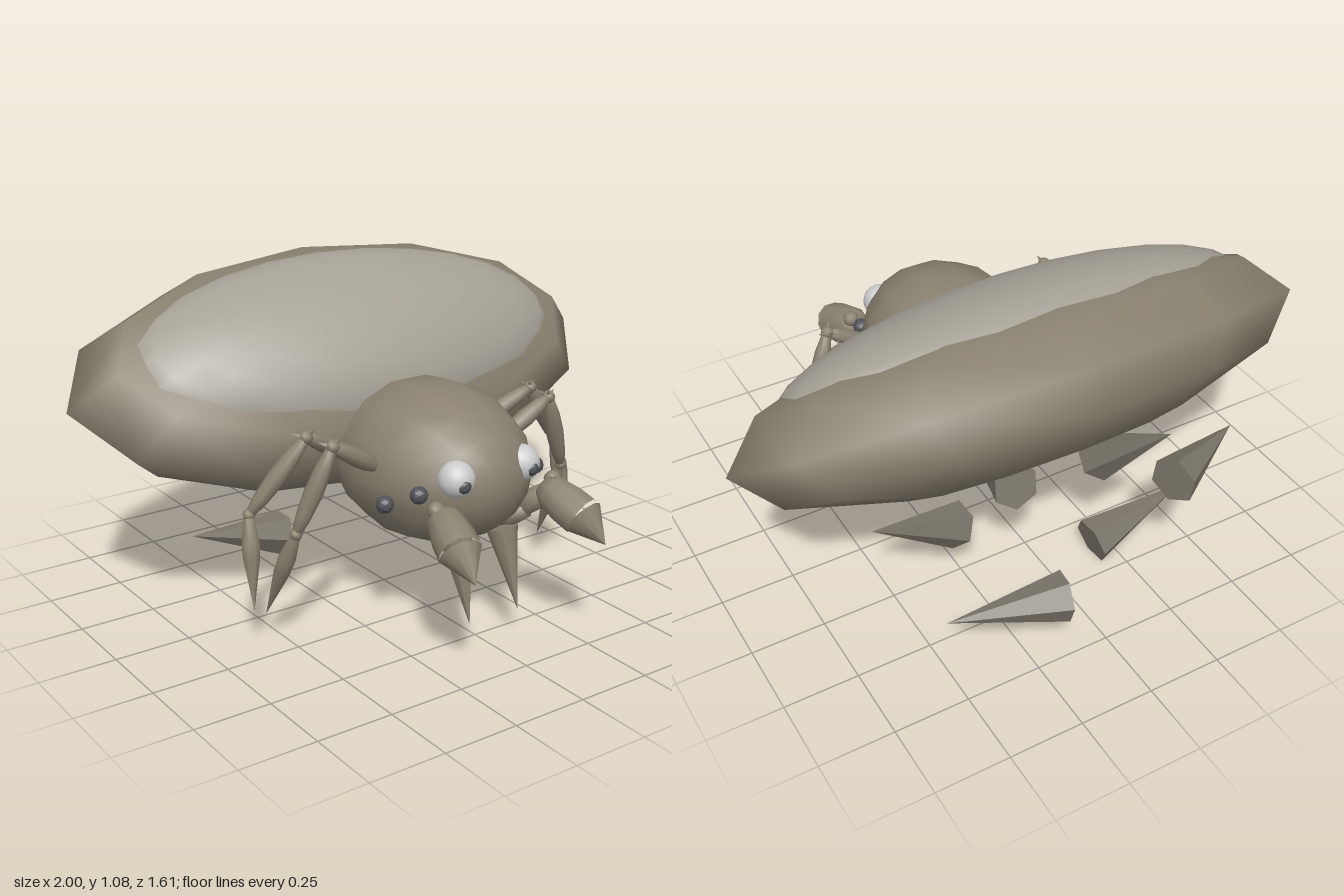
import * as THREE from 'three';

const mat = (color, flatShading = false) => new THREE.MeshStandardMaterial({ color, flatShading });
const V = (p) => new THREE.Vector3(...p);
const UP = new THREE.Vector3(0, 1, 0);

export function createModel() {
  const model = new THREE.Group();
  const skin = mat(0x8a8170);
  const skinFlat = mat(0x7a7468, true);
  const pale = mat(0xa5a196);
  const white = mat(0xcccccc);
  const dark = mat(0x505258, true);

  const add = (name, geometry, material, position, scale = [1, 1, 1], parent = model) => {
    const mesh = new THREE.Mesh(geometry, material);
    mesh.name = name;
    mesh.position.set(...position);
    mesh.scale.set(...scale);
    parent.add(mesh);
    return mesh;
  };

  // Lathe a profile of [radius, fraction of length] from point a to point b
  const spindle = (name, a, b, profile, sides, material, parent = model) => {
    const dir = V(b).sub(V(a));
    const length = dir.length();
    const points = profile.map(([r, t]) => new THREE.Vector2(r, t * length));
    const mesh = add(name, new THREE.LatheGeometry(points, sides), material, a, [1, 1, 1], parent);
    mesh.quaternion.setFromUnitVectors(UP, dir.normalize());
    return mesh;
  };

  // Flat-sided cone from the centre of its base to its tip
  const cone = (name, base, tip, radius, sides, material, parent = model) => {
    const dir = V(tip).sub(V(base));
    const geometry = new THREE.ConeGeometry(radius, dir.length(), sides);
    geometry.translate(0, dir.length() / 2, 0);
    const mesh = add(name, geometry, material, base, [1, 1, 1], parent);
    mesh.quaternion.setFromUnitVectors(UP, dir.normalize());
    return mesh;
  };

  // Wide tilted abdomen with a pale marking bulging from its upper face
  const tilt = THREE.MathUtils.degToRad(35);
  const abdomen = new THREE.Group();
  abdomen.name = 'abdomen';
  abdomen.position.set(0, 0.745, -0.245);
  abdomen.rotation.x = tilt;
  model.add(abdomen);
  add('abdomenShell', new THREE.SphereGeometry(1, 12, 6), skin, [0, 0, 0], [1, 0.285, 0.465], abdomen);
  add('abdomenMarking', new THREE.SphereGeometry(1, 24, 14), pale, [0, 0.09, 0], [0.83, 0.23, 0.365], abdomen);

  // Rounded head and thorax, poles along z
  const headShape = new THREE.SphereGeometry(1, 14, 10).rotateX(Math.PI / 2);
  add('head', headShape, skin, [0, 0.545, 0.26], [0.29, 0.255, 0.36]);

  const legProfile = [[0, 0], [0.016, 0.02], [0.027, 0.25], [0.03, 0.5], [0.024, 0.8], [0.015, 0.98], [0, 1]];
  const clawProfile = [[0, 0], [0.016, 0.02], [0.029, 0.3], [0.027, 0.45], [0, 1]];
  const legs = [
    { name: 'frontLeg', path: [[0.24, 0.58, 0.32], [0.42, 0.69, 0.335], [0.525, 0.42, 0.29], [0.555, 0.11, 0.15]] },
    { name: 'rearLeg', path: [[0.24, 0.58, 0.17], [0.44, 0.69, 0.22], [0.61, 0.46, 0.16], [0.635, 0.17, 0.22]] },
  ];

  for (const [side, s] of [['left', 1], ['right', -1]]) {
    const at = ([x, y, z]) => [s * x, y, z];

    // Main eye with pupil, and two small side eyes
    add(side + 'Eye', new THREE.SphereGeometry(0.058, 16, 12), white, at([0.125, 0.59, 0.55]));
    add(side + 'Pupil', new THREE.IcosahedronGeometry(0.025, 1), dark, at([0.13, 0.582, 0.59]));
    add(side + 'FrontSideEye', new THREE.IcosahedronGeometry(0.028, 1), dark, at([0.225, 0.545, 0.5]));
    add(side + 'RearSideEye', new THREE.IcosahedronGeometry(0.028, 1), dark, at([0.285, 0.5, 0.41]));

    // Fang hanging below the face
    cone(side + 'Fang', at([0.09, 0.37, 0.51]), at([0.095, 0.12, 0.59]), 0.05, 8, skin);

    // Feeler: short jointed arm, swollen bulb and pointed cap
    const feeler = new THREE.Group();
    feeler.name = side + 'Feeler';
    model.add(feeler);
    const armProfile = [[0, 0], [0.03, 0.05], [0.04, 0.5], [0.028, 0.95], [0, 1]];
    spindle('feelerArm', at([0.12, 0.38, 0.45]), at([0.16, 0.43, 0.55]), armProfile, 8, skin, feeler);
    spindle('feelerElbow', at([0.15, 0.42, 0.52]), at([0.21, 0.5, 0.59]), armProfile, 8, skin, feeler);
    spindle('feelerBulb', at([0.2, 0.505, 0.575]), at([0.235, 0.44, 0.715]),
      [[0, 0], [0.04, 0], [0.056, 0.2], [0.066, 0.6], [0.067, 1]], 10, skin, feeler);
    cone('feelerTip', at([0.235, 0.44, 0.715]), at([0.25, 0.375, 0.805]), 0.067, 10, skin, feeler);
    add('feelerKnob', new THREE.SphereGeometry(0.028, 8, 6), skin, at([0.225, 0.525, 0.585]), [1, 1, 1], feeler);

    // Jointed legs with small thorns around the knees
    for (const { name, path } of legs) {
      const leg = new THREE.Group();
      leg.name = side + name[0].toUpperCase() + name.slice(1);
      model.add(leg);
      const [hip, knee, ankle, toe] = path.map(at);
      spindle('upperLeg', hip, knee, legProfile, 8, skin, leg);
      spindle('middleLeg', knee, ankle, legProfile, 8, skin, leg);
      spindle('lowerLeg', ankle, toe, clawProfile, 8, skin, leg);
      add('kneeJoint', new THREE.SphereGeometry(0.022, 8, 6), skin, knee, [1, 1, 1], leg);
      add('ankleJoint', new THREE.SphereGeometry(0.02, 8, 6), skin, ankle, [1, 1, 1], leg);
      for (const [dx, dy, dz] of [[-0.02, 0.03, 0.02], [0.04, 0.015, -0.02], [-0.01, 0.015, -0.045]]) {
        const tip = [knee[0] + s * dx, knee[1] + dy, knee[2] + dz];
        cone('kneeThorn', knee, tip, 0.012, 5, skin, leg);
      }
    }
  }

  // Six loose spikes scattered beneath and behind the abdomen: base, tip
  const spikes = [
    [[-0.16, 0.09, -0.415], [-0.52, 0.17, -0.4]],
    [[0.15, 0.27, -0.73], [0.52, 0.28, -0.66]],
    [[0.27, 0.24, -0.26], [0.6, 0.42, -0.33]],
    [[0.13, 0.45, -0.4], [0.1, 0.335, -0.05]],
    [[-0.16, 0.465, -0.42], [-0.24, 0.71, -0.68]],
    [[-0.29, 0.48, -0.65], [-0.63, 0.46, -0.5]],
  ];
  for (const [base, tip] of spikes) cone('looseSpike', base, tip, 0.08, 6, skinFlat);

  return model;
}
